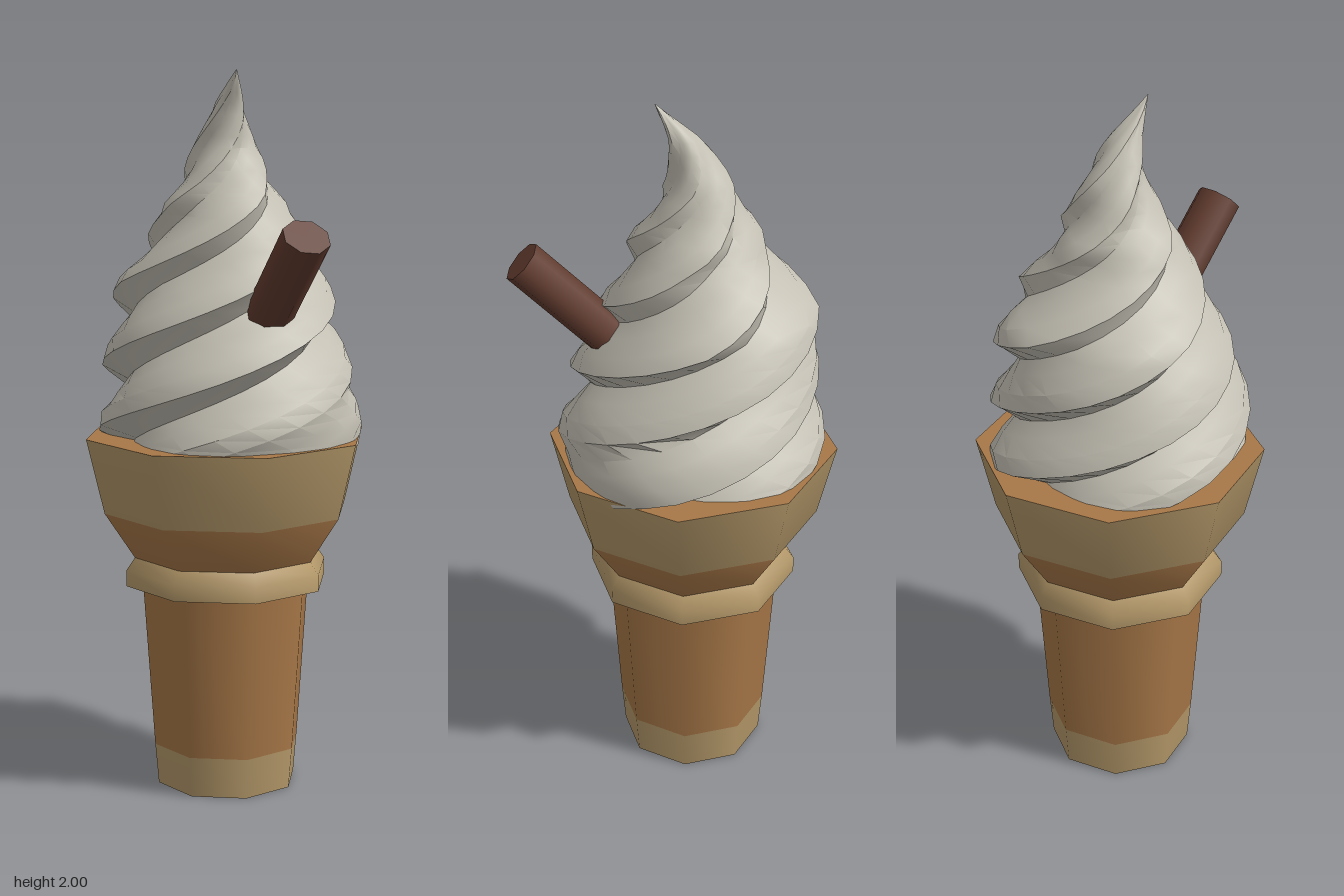
import * as THREE from 'three';
import { toCreasedNormals } from 'three/addons/utils/BufferGeometryUtils.js';

const material = (name, color) => {
  const m = new THREE.MeshStandardMaterial({ color });
  m.name = name;
  return m;
};

// Piecewise-linear lookup in [y, value...] rows
function sample(rows, y, column) {
  let i = 0;
  while (i < rows.length - 2 && y > rows[i + 1][0]) i++;
  const a = rows[i], b = rows[i + 1];
  return THREE.MathUtils.mapLinear(y, a[0], b[0], a[column], b[column]);
}

// Twisted four-lobed cross-sections that taper to a curled tip
function swirlGeometry() {
  const spine = [ // height, ridge radius, centre x, centre z
    [0.98, 0.36, 0.01, -0.035], [1.05, 0.372, 0.01, -0.035], [1.2, 0.346, 0, -0.035],
    [1.32, 0.325, 0, -0.06], [1.43, 0.295, 0, -0.08], [1.5, 0.25, 0, -0.065],
    [1.6, 0.187, 0, -0.045], [1.65, 0.17, 0, -0.05], [1.7, 0.132, 0, -0.05],
    [1.8, 0.085, 0, -0.055], [1.9, 0.046, 0, -0.02], [2, 0.001, 0, 0.06],
  ];
  const lobe = [[0, 1], [0.28, 0.79], [0.5, 0.87], [0.75, 0.97]]; // turn, radius
  const lobes = 4, pitch = 0.19, levels = 34;
  const around = lobes * lobe.length;
  const positions = [], index = [];
  for (let i = 0; i <= levels; i++) {
    const y = 0.98 + (1.02 * i) / levels;
    const [radius, cx, cz] = [1, 2, 3].map((column) => sample(spine, y, column));
    // The front groove fades out into one broad lobe near the rim
    const fill = 0.8 * (1 - THREE.MathUtils.smoothstep(y, 1.1, 1.25));
    for (let k = 0; k < lobes; k++) {
      for (const [t, depth] of lobe) {
        const f = k === 1 ? THREE.MathUtils.lerp(depth, 0.99, fill) : depth;
        const phi = -Math.PI / 2 + (Math.PI / 2) * ((y - 1.04) / pitch + k + t);
        positions.push(cx + radius * f * Math.sin(phi), y, cz + radius * f * Math.cos(phi));
      }
    }
  }
  for (let i = 0; i < levels; i++) {
    for (let j = 0; j < around; j++) {
      const a = i * around + j, b = i * around + ((j + 1) % around);
      index.push(a, b, a + around, b, b + around, a + around);
    }
  }
  const geometry = new THREE.BufferGeometry();
  geometry.setAttribute('position', new THREE.Float32BufferAttribute(positions, 3));
  geometry.setIndex(index);
  return toCreasedNormals(geometry, 0.75);
}

// Smooth eight-sided shell with one material per band of the profile
function shellGeometry(profile) {
  const points = profile.map(([r, y]) => new THREE.Vector2(r, y));
  const geometry = new THREE.LatheGeometry(points, 8);
  const bands = points.length - 1;
  for (let i = 0; i < 8 * bands; i++) geometry.addGroup(i * 6, 6, i % bands);
  return geometry;
}

export function createModel() {
  const wafer = material('wafer brown', 0xa87848);
  const paleWafer = material('pale wafer', 0xb5996a);
  const cream = material('cream', 0xc4c0b4);
  const chocolate = material('chocolate', 0x613b2e);

  const model = new THREE.Group();
  model.name = 'iceCreamCone';
  const add = (parent, name, geometry, mat) => {
    const mesh = new THREE.Mesh(geometry, mat);
    mesh.name = name;
    parent.add(mesh);
    return mesh;
  };

  // Eight-sided cone: stem with pale foot, ring, and flared cup with pale rim
  const cone = new THREE.Group();
  cone.name = 'cone';
  cone.position.z = -0.04;
  model.add(cone);
  add(cone, 'stem', shellGeometry([[0.2, 0], [0.21, 0.115], [0.242, 0.585]]), [paleWafer, wafer]);
  add(cone, 'ring', shellGeometry([[0.29, 0.58], [0.29, 0.625], [0.265, 0.66]]), [paleWafer, paleWafer]);
  add(cone, 'cup', shellGeometry([[0.265, 0.66], [0.35, 0.79], [0.4, 1]]), [wafer, paleWafer]);

  // Flat faces: foot, ring underside and cup top
  const discs = [['footBase', 0, 0.2, 1], ['ringUnderside', 0.58, 0.29, 1], ['cupTop', 1, 0.4, -1]];
  for (const [name, y, r, facing] of discs) {
    const disc = add(cone, name, new THREE.CircleGeometry(r, 8), wafer);
    disc.rotation.x = (facing * Math.PI) / 2;
    disc.position.y = y;
  }

  // Whipped swirl
  add(model, 'swirl', swirlGeometry(), cream);

  // Chocolate stick leaning out of the front
  const inner = new THREE.Vector3(0.05, 1.3, 0.12);
  const outer = new THREE.Vector3(0.088, 1.58, 0.403);
  const axis = outer.clone().sub(inner);
  const stickGeometry = new THREE.CylinderGeometry(0.058, 0.058, axis.length(), 8);
  stickGeometry.rotateY(Math.PI / 8).scale(1.15, 1, 1);
  const stick = add(model, 'chocolateStick', stickGeometry, chocolate);
  stick.position.copy(inner).lerp(outer, 0.5);
  stick.quaternion.setFromUnitVectors(new THREE.Vector3(0, 1, 0), axis.normalize());

  return model;
}
